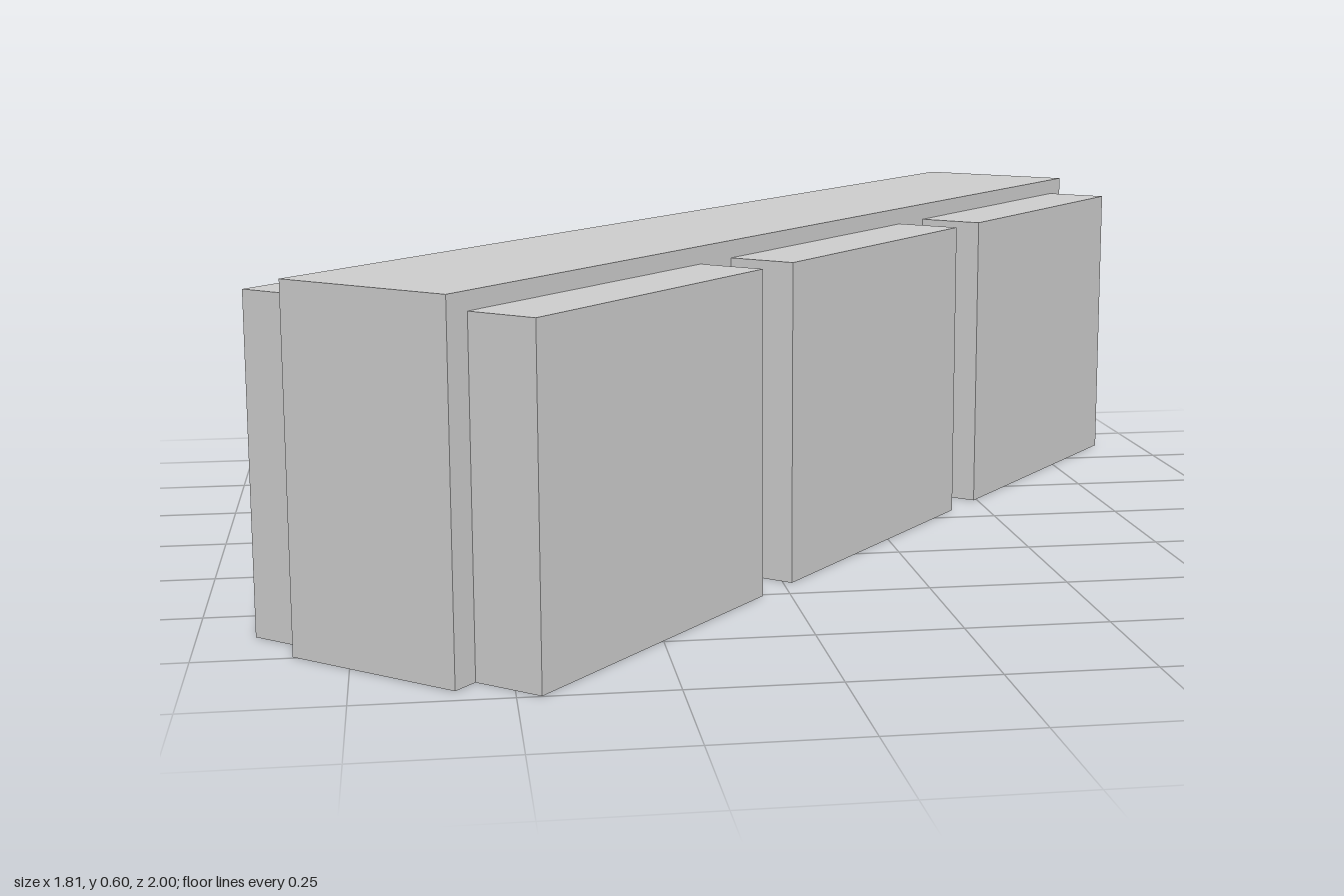
import * as THREE from 'three';

export function createModel() {
  const group = new THREE.Group();
  const material = new THREE.MeshStandardMaterial({ color: 0xcccccc, flatShading: true });

  // Box standing on the ground
  const addBox = (name, length, height, depth, x, z) => {
    const mesh = new THREE.Mesh(new THREE.BoxGeometry(length, height, depth), material);
    mesh.name = name;
    mesh.position.set(x, height / 2, z);
    barrier.add(mesh);
  };

  // The whole block lies diagonally
  const barrier = new THREE.Group();
  barrier.name = 'barrier';
  barrier.rotation.y = 0.8715;
  group.add(barrier);

  // Long central wall
  const coreDepth = 0.327;
  addBox('core', 2.222, 0.604, coreDepth, 0, 0);

  // Three lower side panels on each long face
  const panelDepth = 0.126;
  for (const side of [-1, 1]) {
    for (const i of [-1, 0, 1]) {
      addBox('sidePanel', 0.641, 0.573, panelDepth, i * 0.741, side * (coreDepth + panelDepth) / 2);
    }
  }
  return group;
}
